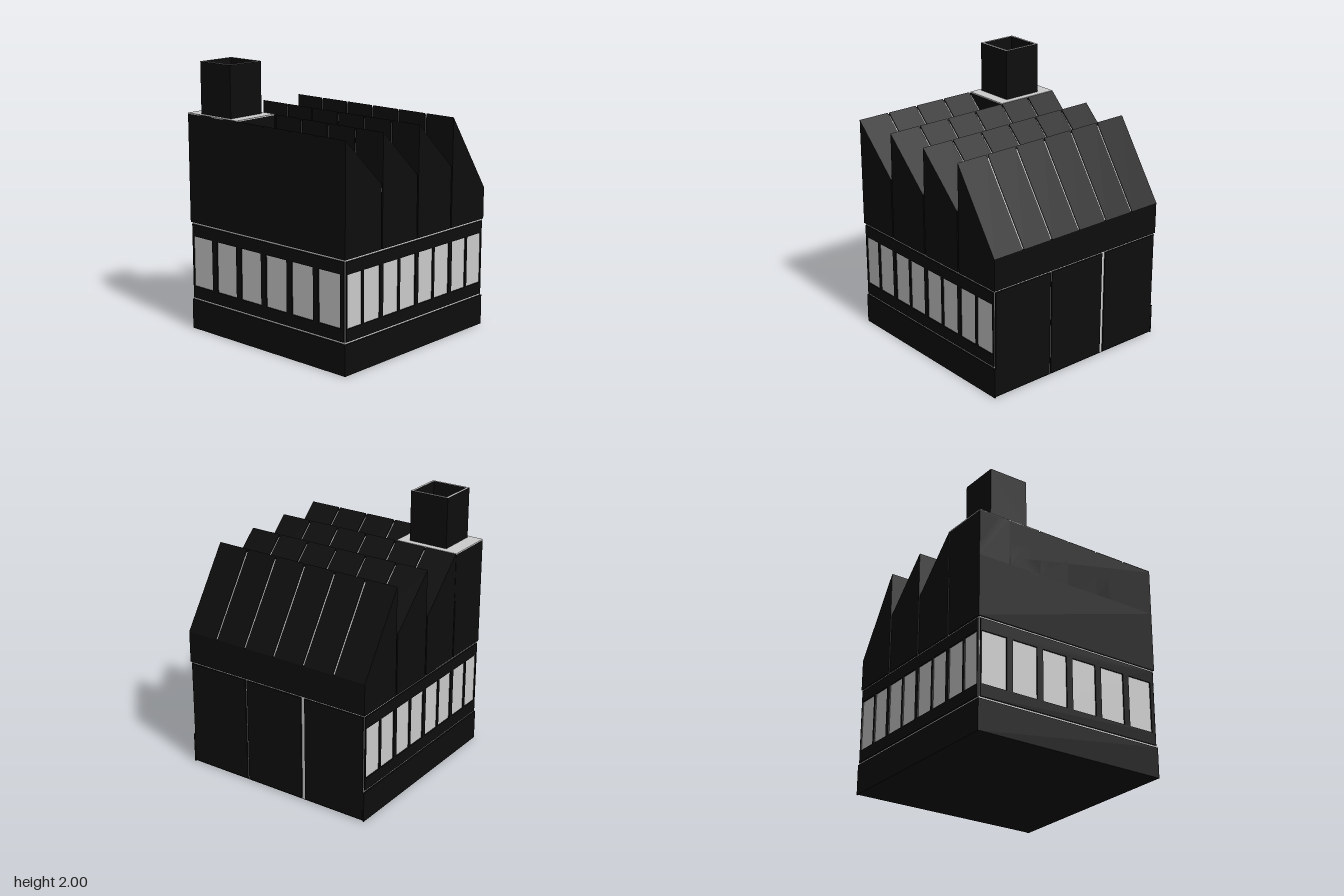
import * as THREE from 'three';

const H = 0.76;     // half width of the building
const CORE = 0.75;  // half width of the pale core behind the dark cladding
const PEAK = 1.62;

const dark = new THREE.MeshStandardMaterial({ color: 0x0d0d0d });
const pale = new THREE.MeshStandardMaterial({ color: 0xcccccc });

function add(parent, name, geometry, material) {
  const mesh = new THREE.Mesh(geometry, material);
  mesh.name = name;
  parent.add(mesh);
  return mesh;
}

// box given by its lower and upper corners
function block(parent, name, [x0, y0, z0], [x1, y1, z1], material) {
  const g = new THREE.BoxGeometry(x1 - x0, y1 - y0, z1 - z0);
  g.translate((x0 + x1) / 2, (y0 + y1) / 2, (z0 + z1) / 2);
  return add(parent, name, g, material);
}

const rectPoints = (x0, y0, x1, y1) =>
  [[x0, y0], [x1, y0], [x1, y1], [x0, y1]].map(p => new THREE.Vector2(...p));

// flat plate with rectangular holes, extruded along z from z0 to z1
function plate(rect, holes, z0, z1) {
  const shape = new THREE.Shape(rectPoints(...rect));
  for (const h of holes) shape.holes.push(new THREE.Path(rectPoints(...h)));
  const g = new THREE.ExtrudeGeometry(shape, { depth: z1 - z0, bevelEnabled: false });
  return g.translate(0, 0, z0);
}

// prism of an x-y outline between z0 and z1
function prism(points, z0, z1) {
  const shape = new THREE.Shape(points.map(p => new THREE.Vector2(...p)));
  const g = new THREE.ExtrudeGeometry(shape, { depth: z1 - z0, bevelEnabled: false });
  return g.translate(0, 0, z0);
}

// one wall: dark base strip and dark window band over the pale core
function windowWall(name, angle, baseHalf, windows) {
  const wall = new THREE.Group();
  wall.name = name;
  add(wall, 'baseCladding', plate([-baseHalf, 0, baseHalf, 0.225], [], CORE, H), dark);
  const holes = windows.map(([a, b]) => [a, 0.33, b, 0.71]);
  add(wall, 'windowBand', plate([-0.745, 0.24, 0.745, 0.8], holes, CORE, H), dark);
  wall.rotation.y = angle;
  return wall;
}

export function createModel() {
  const model = new THREE.Group();
  model.name = 'factory';

  // ground floor core and underside
  block(model, 'groundFloorCore', [-CORE, 0.004, -CORE], [CORE, 0.82, CORE], pale);
  block(model, 'underside', [-CORE, 0, -CORE], [CORE, 0.004, CORE], dark);

  // pairs of windows per bay on front and back, six wide ones on the right side
  const bays = [-0.75, -0.37, 0.01, 0.39].flatMap(b => [
    [Math.max(b, -0.735), b + 0.16], [b + 0.18, Math.min(b + 0.345, 0.735)]]);
  const wide = Array.from({ length: 6 }, (_, i) => [-0.735 + i * 0.25, -0.535 + i * 0.25]);
  model.add(windowWall('frontWall', 0, H, bays));
  model.add(windowWall('backWall', Math.PI, H, bays.map(([a, b]) => [-b, -a])));
  model.add(windowWall('rightWall', -Math.PI / 2, CORE, wide));

  // three large doors on the left side
  for (const [z0, z1] of [[0.257, 0.748], [-0.23, 0.244], [-0.748, -0.26]]) {
    block(model, 'loadingDoor', [CORE, 0.01, z0], [H, 0.802, z1], dark);
  }

  // four saw-tooth bays: dark walls below, slices of roof above
  const pitch = (2 * H) / 4;
  const slice = (2 * H) / 6;
  for (let i = 0; i < 4; i++) {
    const last = i === 3;
    const x0 = -H + i * pitch;
    const x1 = last ? H : x0 + pitch - 0.015;
    const valley = last ? 1.05 : 1.27;
    const foot = i ? x0 - 0.003 : x0;
    const bay = new THREE.Group();
    bay.name = 'sawToothBay';
    model.add(bay);
    block(bay, 'upperWall', [foot, 0.814, -H], [x1, valley, H], dark);
    if (!last) {
      block(bay, 'wallSeam', [x1 - 0.01, 0.81, -CORE], [x1 + 0.02, valley - 0.01, CORE], pale);
    }

    // pale core seen in the gaps between the roof slices
    add(bay, 'roofCore', prism(
      [[x0 + 0.008, valley - 0.01], [x1 - 0.008, valley - 0.01], [x1 - 0.008, valley + 0.002],
        [x0 + 0.008, PEAK - 0.02]], -CORE, CORE), pale);
    for (let k = 0; k < 6; k++) {
      const z0 = -H + k * slice + (k ? 0.006 : 0);
      const z1 = -H + (k + 1) * slice - (k < 5 ? 0.006 : 0);
      add(bay, 'roofSlice', prism([[foot, valley], [x1, valley], [x0, PEAK]], z0, z1), dark);
    }
  }
  // closed outer side of the first tooth
  block(model, 'rightParapet', [-H, 1.27, -H], [-CORE, 1.61, H], dark);

  // chimney on its block at the back right corner
  const chimney = new THREE.Group();
  chimney.name = 'chimney';
  model.add(chimney);
  block(chimney, 'chimneyBlock', [-H, 1.26, -H], [-0.385, 1.614, -0.26], dark);
  block(chimney, 'chimneyLedge', [-H, 1.614, -H], [-0.383, 1.622, -0.26], pale);
  const stack = plate([-0.73, 0.345, -0.43, 0.65], [[-0.712, 0.363, -0.448, 0.632]], 1.622, 2);
  stack.rotateX(-Math.PI / 2);
  add(chimney, 'chimneyStack', stack, [pale, dark]);
  block(chimney, 'chimneyFloor', [-0.72, 1.622, -0.64], [-0.44, 1.63, -0.355], dark);

  return model;
}
